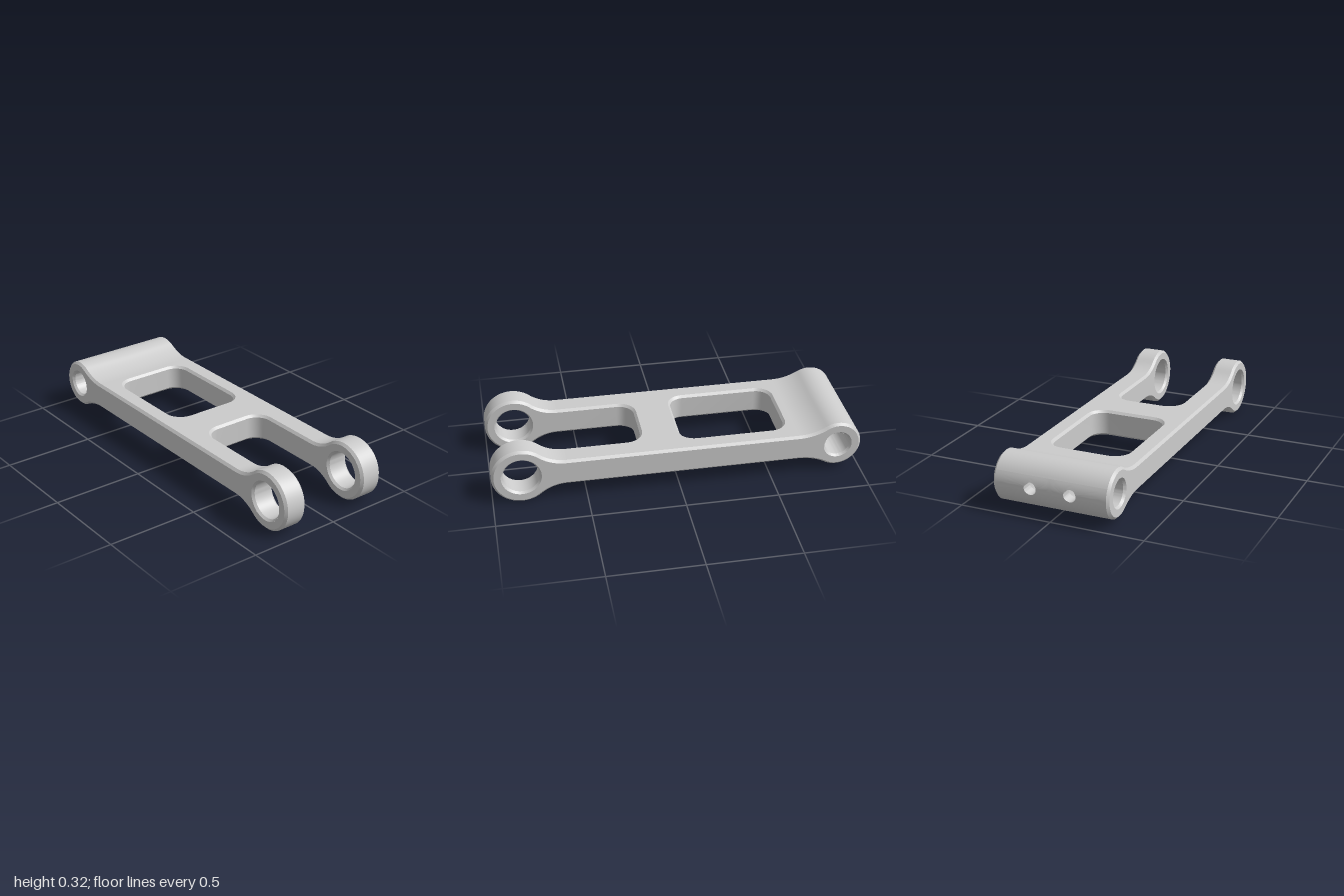
import * as THREE from 'three';
import { toCreasedNormals } from 'three/addons/utils/BufferGeometryUtils.js';

const H = 0.073;            // half thickness of the flat beam
const C = 0.013;            // edge chamfer
const Z = 0.315;            // half width
const ZI = 0.186;           // inner face of the fork lugs
const RIM = 0.01;           // bore chamfer
const ARC = 48;             // segments round an eye
const CUT = 6;              // segments either side of the end face kept for the cross hole
const EYES = {
  fork: { side: 1, x: 0.842, R: 0.158, bore: 0.097, f: 0.22 },
  wide: { side: -1, x: -0.87, R: 0.13, bore: 0.068, f: 0.3 },
};
const material = new THREE.MeshStandardMaterial({ color: 0xcccccc, side: THREE.DoubleSide });

// Surface through rows of points, with sharp edges kept
function loft(rows) {
  const n = rows[0].length, index = [];
  for (let i = 0; i < rows.length - 1; i++) {
    for (let j = 0; j < n - 1; j++) {
      const a = i * n + j, c = a + n;
      index.push(a, c, a + 1, a + 1, c, c + 1);
    }
  }
  const g = new THREE.BufferGeometry();
  g.setAttribute('position', new THREE.Float32BufferAttribute(rows.flat(2), 3));
  g.setIndex(index);
  return toCreasedNormals(g, 0.5);
}

const atZ = (pts, z) => pts.map(([x, y]) => [x, y, z]);
const atY = (pts, y) => pts.map(([x, z]) => [x, y, z]);
const closed = pts => [...pts, pts[0]];

function arc(cx, cy, r, from, to, n) {
  return Array.from({ length: n + 1 }, (_, i) => {
    const t = from + (to - from) * i / n;
    return [cx + r * Math.cos(t), cy + r * Math.sin(t)];
  });
}

// Angle at which the fillet meets the eye, and the length of the blend
function blend({ R, f }) {
  const dx = Math.sqrt((R + f) ** 2 - (H + f) ** 2);
  return { dx, phi: Math.atan2(H + f, -dx) };
}

// Side outline of one end, inset by d: upper fillet, eye, lower fillet
function endParts(eye, d) {
  const { dx, phi } = blend(eye);
  const place = pts => pts.map(([x, y]) => [eye.x + eye.side * x, y]);
  const fillet = arc(-dx, H + eye.f, eye.f + d, -Math.PI / 2, phi - Math.PI, 10).slice(0, -1);
  return {
    upper: place(fillet),
    round: place(arc(0, 0, eye.R - d, phi, -phi, ARC)),
    lower: place(fillet.map(([x, y]) => [x, -y]).reverse()),
  };
}
function endProfile(eye, d) {
  const p = endParts(eye, d);
  return [...p.upper, ...p.round, ...p.lower];
}
const fullProfile = d => [...endProfile(EYES.fork, d), ...endProfile(EYES.wide, d).reverse()];
const circle = (eye, r) => arc(eye.x, 0, r, 0, Math.PI * 2, 64);

function face(pts, bores = []) {
  const s = new THREE.Shape(pts.map(p => new THREE.Vector2(...p)));
  for (const e of bores) s.holes.push(new THREE.Path().absarc(e.x, 0, e.bore + RIM, 0, Math.PI * 2, true));
  return new THREE.ShapeGeometry(s, 64);
}

// Half plan outlines of the closed window and the fork slot, grown by d
function windowPath(d) {
  const x1 = -0.03, x0 = -0.605, w = 0.212, r = 0.08;
  return [[x1 + d, 0],
    ...arc(x1 - r, w - r, r + d, 0, Math.PI / 2, 10),
    ...arc(x0 + r, w - r, r + d, Math.PI / 2, Math.PI, 10),
    [x0 - d, 0]];
}
function slotPath(d, xEnd) {
  const x0 = 0.182, r = 0.085;
  return [[xEnd, ZI + d], ...arc(x0 + r, ZI - r, r + d, Math.PI / 2, Math.PI, 10), [x0 - d, 0]];
}
const chamferedWall = path => loft([
  atY(path(C), H), atY(path(0), H - C), atY(path(0), C - H), atY(path(C), -H)]);

// Curved wall piece of the wide eye, pierced by a small cross hole
function crossHoleWall(eye, alpha) {
  const zMax = Z - C, hz = 0.108, r = 0.033, n = 2 * CUT, edge = [];
  const corners = [[0, -alpha], [0, alpha], [zMax, alpha], [zMax, -alpha], [0, -alpha]];
  for (let k = 0; k < 4; k++) {
    for (let i = 0; i < n; i++) {
      edge.push(corners[k].map((v, m) => v + (corners[k + 1][m] - v) * i / n));
    }
  }
  const row = (R, t) => closed(edge).map(([z, a]) => {
    const dz = z - hz, dy = a * eye.R, k = r / Math.hypot(dz, dy);
    const zz = hz + dz * (1 - t + t * k), aa = a * (1 - t) + t * Math.asin(dy * k / R);
    return [eye.x - R * Math.cos(aa), R * Math.sin(aa), zz];
  });
  const steps = [0, 0.25, 0.5, 0.75, 1];
  return loft([...steps.map(t => row(eye.R, t)), ...steps.map(t => row(eye.bore, 1 - t))]);
}

function createHalf() {
  const half = new THREE.Group();
  const add = (name, geometry) => {
    const m = new THREE.Mesh(geometry, material);
    m.name = name;
    half.add(m);
  };
  const { fork, wide } = EYES;
  const zc = Z - C;
  const xr = fork.x - blend(fork).dx, xl = wide.x + blend(wide).dx;

  // Outer side face and its chamfer
  add('sideFace', face(fullProfile(C), [fork, wide]).translate(0, 0, Z));
  add('sideChamfer', loft([atZ(closed(fullProfile(0)), zc), atZ(closed(fullProfile(C)), Z)]));

  // Flat beam with window and slot
  const plan = [[xl, 0], [xl, zc], [xr, zc], ...slotPath(C, xr), ...windowPath(C)];
  add('beamTop', face(plan.map(([x, z]) => [x, -z])).rotateX(-Math.PI / 2).translate(0, H, 0));
  add('beamBottom', face(plan).rotateX(Math.PI / 2).translate(0, -H, 0));
  add('windowWall', chamferedWall(windowPath));
  add('slotWall', chamferedWall(d => slotPath(d, xr)));

  // Fork lug
  add('forkLug', loft([
    atZ(endProfile(fork, C), ZI), atZ(endProfile(fork, 0), ZI + C), atZ(endProfile(fork, 0), zc)]));
  add('forkInnerFace', face(endProfile(fork, C), [fork]).rotateX(Math.PI).translate(0, 0, ZI));
  add('forkBore', loft([
    atZ(circle(fork, fork.bore + RIM), ZI), atZ(circle(fork, fork.bore), ZI + C),
    atZ(circle(fork, fork.bore), zc), atZ(circle(fork, fork.bore + RIM), Z)]));

  // Wide eye, open at the end face where the pierced wall sits
  const p = endParts(wide, 0), mid = ARC / 2;
  const skins = [[...p.upper, ...p.round.slice(0, mid - CUT + 1)],
    [...p.round.slice(mid + CUT), ...p.lower]];
  for (const s of skins) add('wideEye', loft([atZ(s, zc), atZ(s, 0)]));
  const alpha = CUT * 2 * blend(wide).phi / ARC;
  add('crossHoleWall', crossHoleWall(wide, alpha));
  const open = arc(wide.x, 0, wide.bore, alpha - Math.PI, Math.PI - alpha, 52);
  add('wideBore', loft([atZ(open, 0), atZ(open, zc)]));
  add('wideBoreChamfer', loft([
    atZ(circle(wide, wide.bore), zc), atZ(circle(wide, wide.bore + RIM), Z)]));
  return half;
}

export function createModel() {
  const model = new THREE.Group();
  model.name = 'linkArm';
  const front = createHalf();
  front.name = 'frontHalf';
  const back = front.clone();
  back.name = 'backHalf';
  back.scale.z = -1;
  for (const h of [front, back]) {
    h.position.y = EYES.fork.R;
    model.add(h);
  }
  return model;
}
